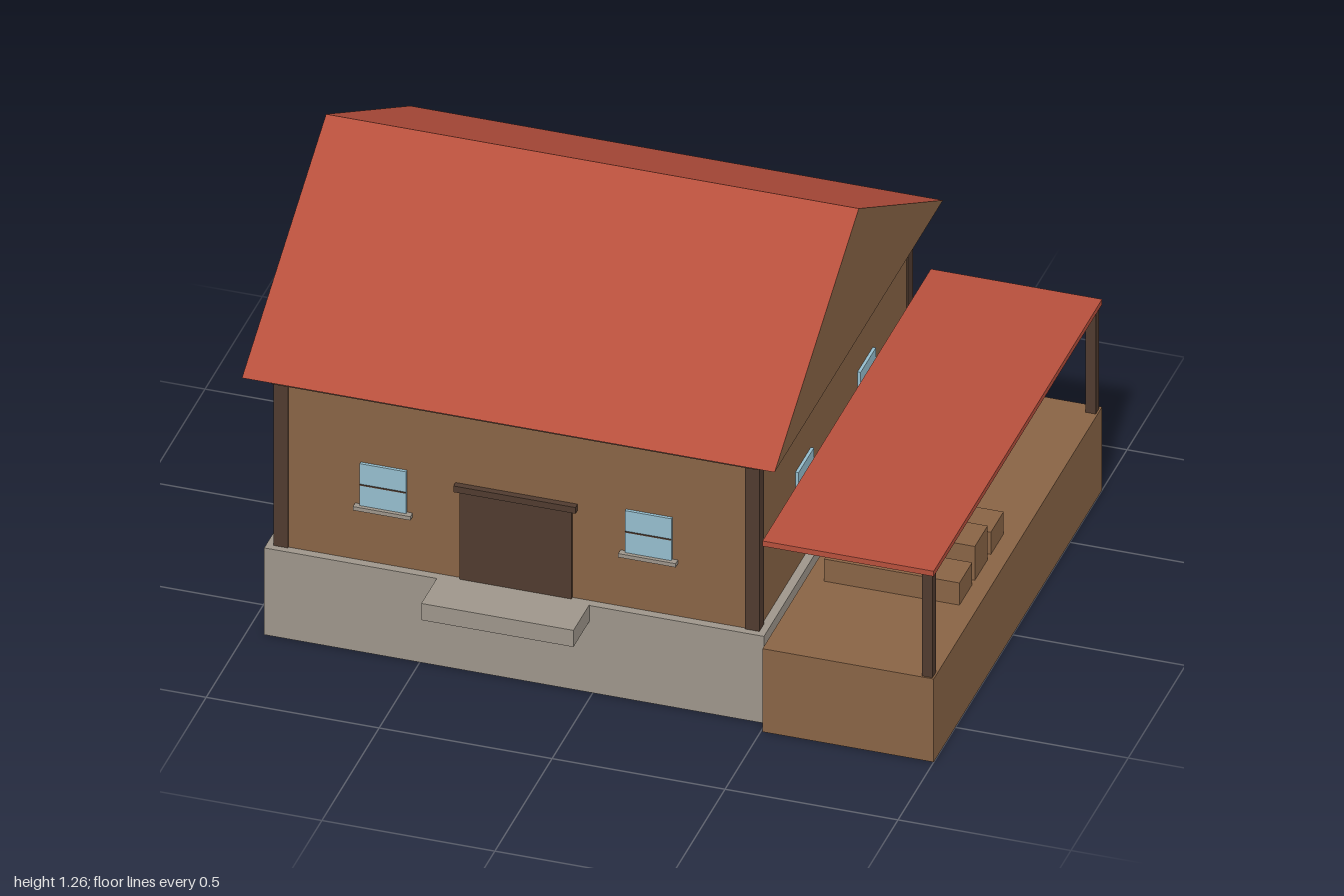
import * as THREE from 'three';

const material = (name, color) => Object.assign(new THREE.MeshStandardMaterial({ color }), { name });

export function createModel() {
  const wood = material('brown timber', 0x886345);
  const darkWood = material('dark timber', 0x503b2f);
  const red = material('red roofing', 0xb64f3c);
  const stone = material('grey stone', 0x9d958a);
  const glass = material('blue glass', 0x95bdcd);

  const model = new THREE.Group();
  model.name = 'house';

  // Box given by its lower and upper limits on each axis
  const box = (name, mat, [x0, x1], [y0, y1], [z0, z1], parent = model) => {
    const mesh = new THREE.Mesh(new THREE.BoxGeometry(x1 - x0, y1 - y0, z1 - z0), mat);
    mesh.position.set((x0 + x1) / 2, (y0 + y1) / 2, (z0 + z1) / 2);
    mesh.name = name;
    parent.add(mesh);
    return mesh;
  };

  // Foundation, walls and entrance step
  box('foundation', stone, [-0.95, 0.495], [0, 0.282], [-0.735, 0.645]);
  box('walls', wood, [-0.925, 0.47], [0.282, 0.85], [-0.71, 0.62]);
  box('entranceStep', stone, [-0.45, -0.01], [0.23, 0.284], [0.645, 0.783]);

  // Corner posts and the beams under the eaves
  for (const x of [-0.93, 0.433]) {
    for (const z of [-0.715, 0.583]) {
      box('cornerPost', darkWood, [x, x + 0.042], [0.282, 0.85], [z, z + 0.042]);
    }
  }
  box('frontBeam', darkWood, [-0.93, 0.475], [0.815, 0.85], [0.585, 0.64]);
  box('backBeam', darkWood, [-0.93, 0.475], [0.815, 0.85], [-0.73, -0.675]);

  // Gabled roof: timber gable ends, red slopes and underside
  const gable = new THREE.Shape([
    new THREE.Vector2(-0.735, 0), new THREE.Vector2(0.735, 0), new THREE.Vector2(0, 0.415),
  ]);
  const roofGeometry = new THREE.ExtrudeGeometry(gable, { depth: 1.54, bevelEnabled: false });
  const roof = new THREE.Mesh(roofGeometry, [wood, red]);
  roof.name = 'gabledRoof';
  roof.rotation.y = Math.PI / 2;
  roof.position.set(-1, 0.85, -0.047);
  model.add(roof);

  // Window facing +z in its own frame, origin on the wall at the pane centre
  const addWindow = (x, z, turn, split) => {
    const group = new THREE.Group();
    group.name = 'window';
    group.position.set(x, 0.532, z);
    group.rotation.y = turn;
    box('pane', glass, [-0.067, 0.067], [-0.068, 0.068], [0, 0.009], group);
    if (split) box('glazingBar', darkWood, [-0.067, 0.067], [-0.002, 0.002], [0.008, 0.011], group);
    box('sill', stone, [-0.083, 0.083], [-0.08, -0.068], [0, 0.02], group);
    model.add(group);
  };
  for (const x of [-0.612, 0.155]) addWindow(x, 0.62, 0, true);
  for (const x of [-0.612, -0.228, 0.155]) addWindow(x, -0.71, Math.PI, false);
  for (const z of [0.227, -0.314]) {
    addWindow(0.47, z, Math.PI / 2, false);
    addWindow(-0.925, z, -Math.PI / 2, false);
  }

  // Front door with lintel
  box('door', darkWood, [-0.39, -0.067], [0.282, 0.57], [0.61, 0.629]);
  box('doorLintel', darkWood, [-0.405, -0.052], [0.568, 0.588], [0.61, 0.639]);

  // Terrace with a flat canopy on two outer posts
  box('terrace', wood, [0.505, 1], [0, 0.27], [-0.782, 0.688]);
  box('canopy', red, [0.505, 1], [0.603, 0.62], [-0.782, 0.688]);
  for (const z of [0.653, -0.772]) {
    box('canopyPost', darkWood, [0.965, 0.995], [0.27, 0.603], [z, z + 0.03]);
  }

  // Table between two benches
  box('table', wood, [0.557, 0.948], [0.27, 0.38], [0.06, 0.172]);
  for (const z of [0.195, -0.079]) {
    box('bench', wood, [0.557, 0.948], [0.27, 0.342], [z, z + 0.111]);
  }

  return model;
}
